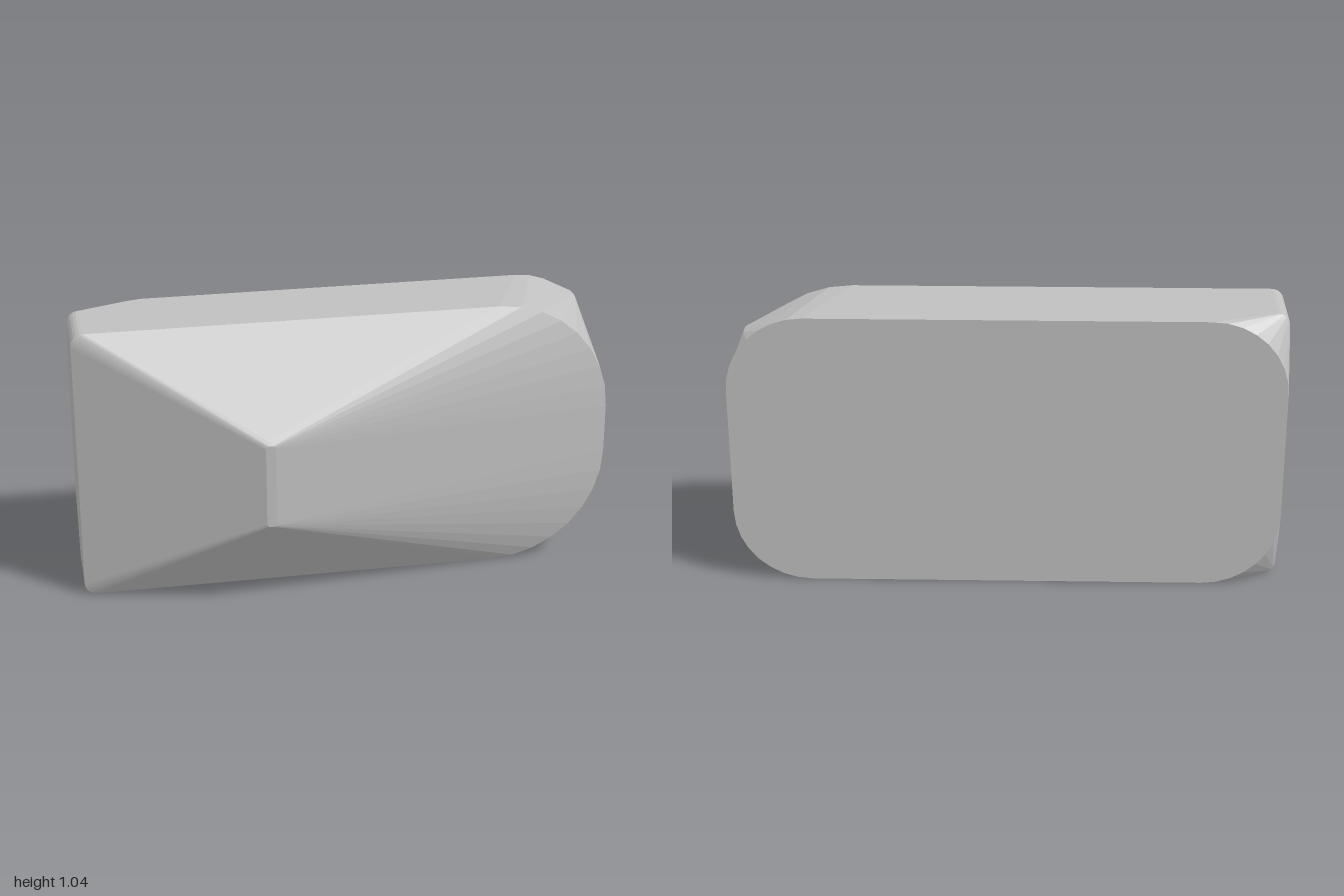
import * as THREE from 'three';
import { ConvexGeometry } from 'three/addons/geometries/ConvexGeometry.js';

const H = 1.043; // overall height

// Quarter-circle corner, sx/sy choose the side; (x, y) is the sharp corner it rounds
function corner(points, x, y, z, sx, sy, r, segments) {
  for (let i = 0; i <= segments; i++) {
    const a = (i / segments) * Math.PI / 2;
    points.push(new THREE.Vector3(
      x - sx * r * (1 - Math.cos(a)),
      y - sy * r * (1 - Math.sin(a)),
      z));
  }
}

export function createModel() {
  const group = new THREE.Group();
  group.name = 'facetedBlock';
  const grey = new THREE.MeshStandardMaterial({ color: 0xc0c0c0 });
  grey.name = 'light grey';

  const points = [];
  for (const sy of [-1, 1]) {
    const y = sy > 0 ? H : 0;
    // Flat back with large rounded corners
    for (const sx of [-1, 1]) corner(points, sx, y, -0.305, sx, sy, 0.28, 8);
    // Tight corners along the left end
    for (const z of [-0.22, 0.02]) corner(points, -1, y, z, -1, sy, 0.045, 6);
    // Broad curve at the right end of the rim
    corner(points, 1, y, 0.02, 1, sy, 0.43, 8);
    // Chamfer points behind the broad curve
    for (const z of [-0.22, -0.27]) points.push(new THREE.Vector3(0.93, y - sy * 0.066, z));
    // Softened ridge at the front
    for (const sx of [-1, 1]) {
      corner(points, -0.328 + sx * 0.032, H / 2 + sy * 0.176, 0.293, sx, sy, 0.022, 4);
      corner(points, -0.328 + sx * 0.018, H / 2 + sy * 0.16, 0.305, sx, sy, 0.012, 3);
    }
  }

  const body = new THREE.Mesh(new ConvexGeometry(points), grey);
  body.name = 'body';
  group.add(body);
  return group;
}
